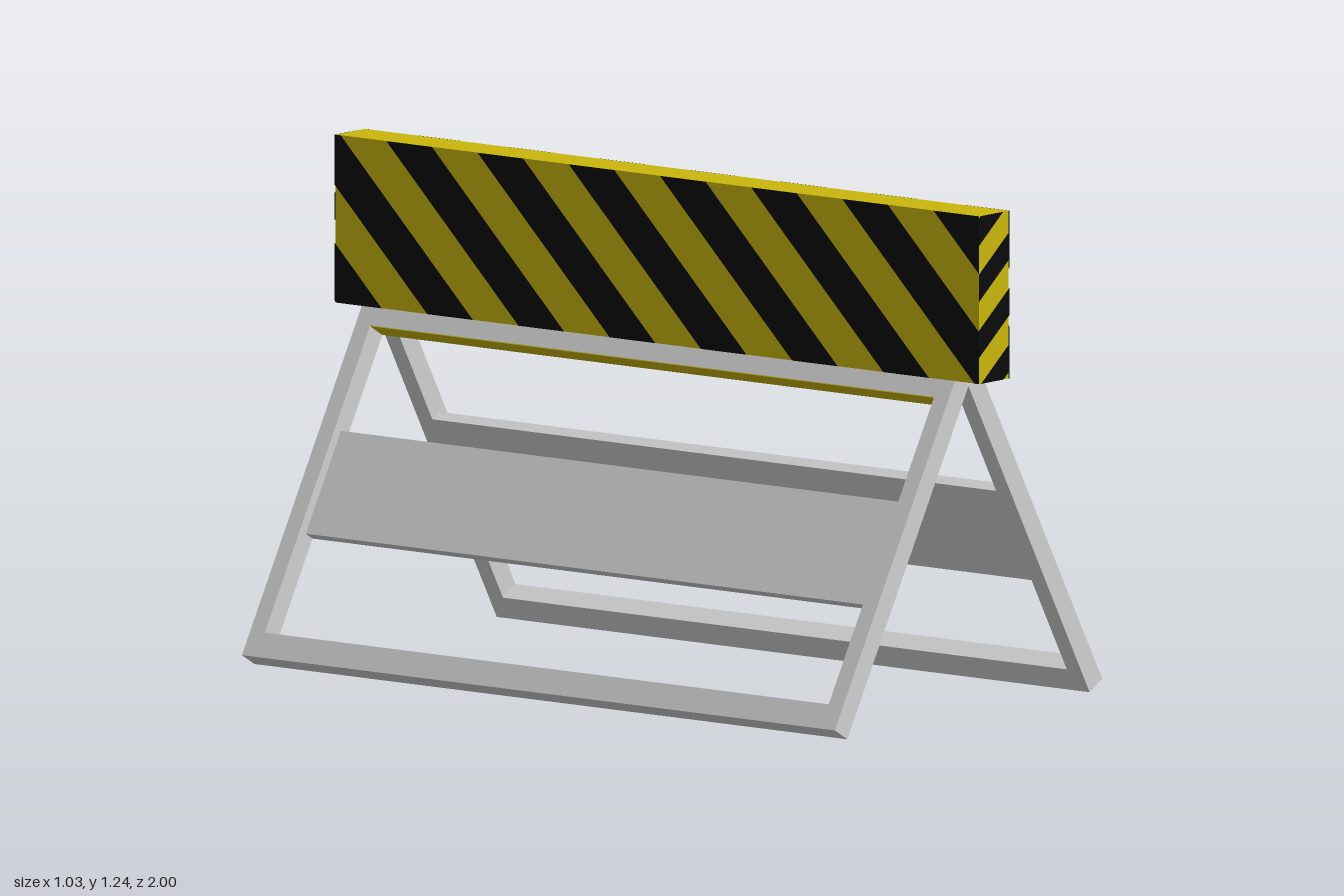
import * as THREE from 'three';

const yellow = new THREE.MeshStandardMaterial({ color: 0xcab60c });
yellow.name = 'warning yellow';
const black = new THREE.MeshStandardMaterial({ color: 0x0b0b0c, side: THREE.DoubleSide });
black.name = 'stripe black';
const grey = new THREE.MeshStandardMaterial({ color: 0xd0d0d0 });
grey.name = 'frame grey';

// Box given by its min and max corners
function box(name, material, [x0, y0, z0], [x1, y1, z1]) {
  const mesh = new THREE.Mesh(new THREE.BoxGeometry(x1 - x0, y1 - y0, z1 - z0), material);
  mesh.position.set((x0 + x1) / 2, (y0 + y1) / 2, (z0 + z1) / 2);
  mesh.name = name;
  return mesh;
}

// Keep the part of a convex polygon where f(point) >= 0
function clip(poly, f) {
  const out = [];
  poly.forEach((a, i) => {
    const b = poly[(i + 1) % poly.length];
    const fa = f(a), fb = f(b);
    if (fa >= 0) out.push(a);
    if (fa * fb < 0) out.push(a.clone().lerp(b, fa / (fa - fb)));
  });
  return out;
}

// Diagonal stripes on a w x h face centred on x, bottom at y = 0.
// A point is striped where ramp(u, depth below top) lies in the first part of each period.
function stripes(w, h, period, width, ramp) {
  const V = (x, y) => new THREE.Vector2(x, y);
  const rect = [V(-w / 2, 0), V(w / 2, 0), V(w / 2, h), V(-w / 2, h)];
  const s = (p) => ramp(p.x, h - p.y);
  const shapes = [];
  for (let i = -2; i < 12; i++) {
    const start = i * period;
    let poly = clip(rect, (p) => s(p) - start);
    poly = clip(poly, (p) => start + width - s(p));
    if (poly.length > 2) shapes.push(new THREE.Shape(poly));
  }
  return new THREE.ShapeGeometry(shapes);
}

// Tilted leg frame leaning out to +x; local y runs up the slope, local x points outward
function legFrame(name) {
  const frame = new THREE.Group();
  frame.name = name;
  const T = 0.055, L = 0.93, Z = 0.92, IZ = 0.875, bottom = 0.064, top = 0.873;
  const tilted = new THREE.Group();
  tilted.name = 'tiltedFrame';
  tilted.position.set(0.465, 0, 0);
  tilted.rotation.z = Math.PI / 6;
  tilted.add(
    box('frontStile', grey, [0, 0, IZ], [T, L, Z]),
    box('backStile', grey, [0, 0, -Z], [T, L, -IZ]),
    box('bottomRail', grey, [0, 0, -IZ], [T, bottom, IZ]),
    box('topRail', grey, [0, top, -IZ], [T, L, IZ]),
    // yellow underside of the top rail
    box('topRailUnderside', yellow, [0.0005, top - 0.002, -IZ], [T - 0.0005, top, IZ]),
    // brace panel, flush with the inner face
    box('bracePanel', grey, [0, 0.335, -IZ], [0.03, 0.606, IZ]),
  );
  frame.add(tilted);
  return frame;
}

export function createModel() {
  const model = new THREE.Group();
  model.name = 'barricade';

  // Warning board
  const W = 0.116, H = 0.41, Y = 0.825, gap = 0.0015;
  const board = new THREE.Group();
  board.name = 'warningBoard';
  board.add(box('boardCore', yellow,
    [-W / 2 + gap, Y, -1 + gap], [W / 2 - gap, Y + H, 1 - gap]));

  // Stripes on the long sides and on the ends
  const sideGeo = stripes(2, H, 0.283, 0.1415, (u, d) => u + 1 + d);
  const endGeo = stripes(W, H, 0.137, 0.067, (u, d) => d + 0.78 * (u + W / 2) - 0.005);
  for (const sign of [1, -1]) {
    const side = new THREE.Mesh(sideGeo, black);
    side.name = sign > 0 ? 'leftStripes' : 'rightStripes';
    side.rotation.y = Math.PI / 2;
    side.position.set(sign * W / 2, Y, 0);
    const end = new THREE.Mesh(endGeo, black);
    end.name = sign > 0 ? 'frontStripes' : 'backStripes';
    end.position.set(0, Y, sign);
    board.add(side, end);
  }
  model.add(board);

  // Pair of leg frames forming an A
  const left = legFrame('leftLegFrame');
  const right = legFrame('rightLegFrame');
  right.rotation.y = Math.PI;
  model.add(left, right);
  return model;
}
